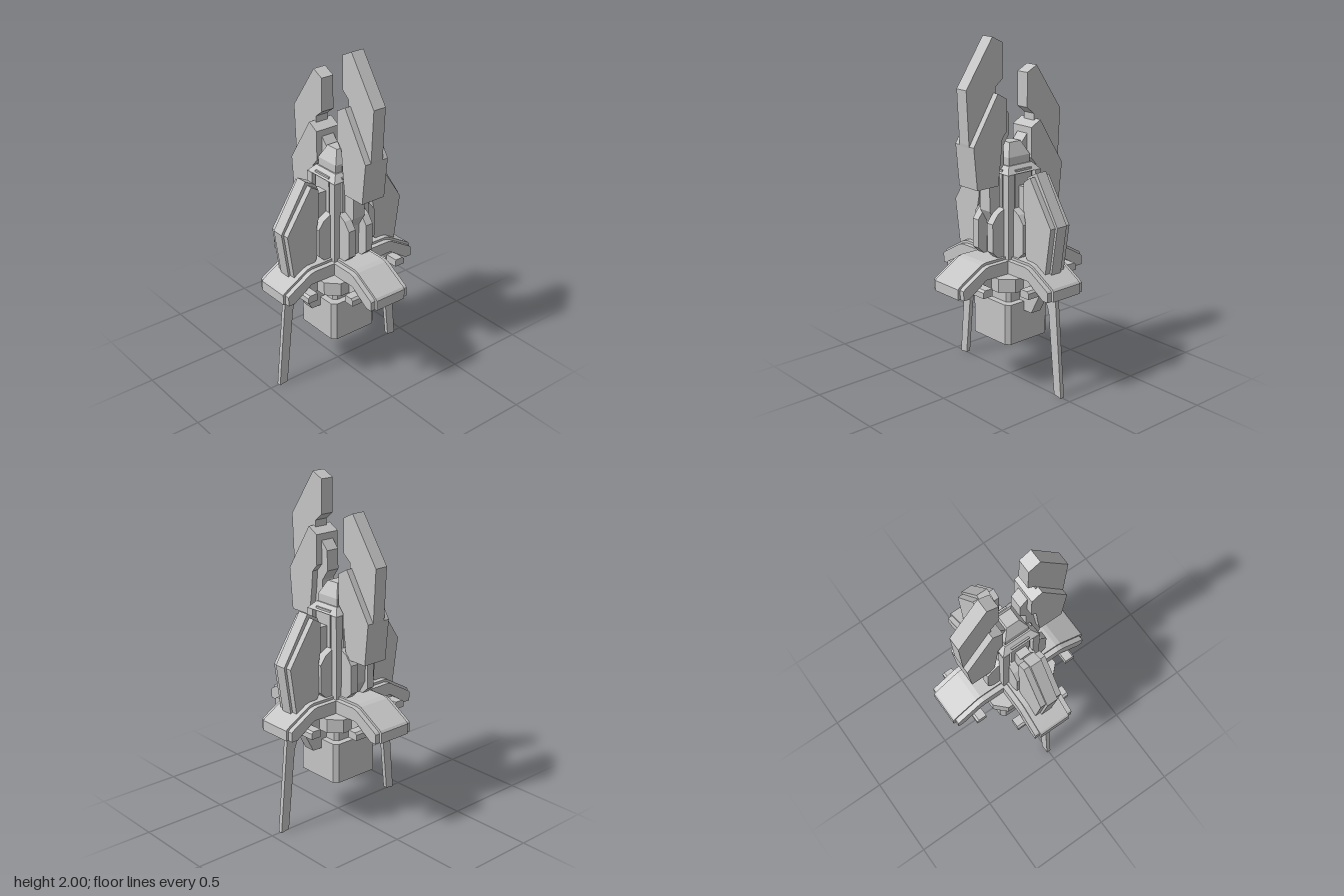
import * as THREE from 'three';

const hull = new THREE.MeshStandardMaterial({ color: 0xc4c4c4 });
hull.name = 'hullGrey';

// Flat slab: profile in (radius, height), spanning w0..w1 across
function slab(name, pts, w0, w1) {
  const shape = new THREE.Shape(pts.map(([x, y]) => new THREE.Vector2(x, y)));
  const geo = new THREE.ExtrudeGeometry(shape, { depth: w1 - w0, bevelEnabled: false });
  geo.translate(0, 0, w0);
  const mesh = new THREE.Mesh(geo, hull);
  mesh.name = name;
  return mesh;
}

// Upright prism: square plan of half-width h with corners cut by c
function prism(name, h, c, y0, y1) {
  const k = h - c;
  const plan = [[h, -k], [h, k], [k, h], [-k, h], [-h, k], [-h, -k], [-k, -h], [k, -h]];
  const mesh = slab(name, plan, y0, y1);
  mesh.geometry.rotateX(-Math.PI / 2);
  return mesh;
}

function box(name, x0, x1, y0, y1, z0, z1) {
  const geo = new THREE.BoxGeometry(x1 - x0, y1 - y0, z1 - z0);
  geo.translate((x0 + x1) / 2, (y0 + y1) / 2, (z0 + z1) / 2);
  const mesh = new THREE.Mesh(geo, hull);
  mesh.name = name;
  return mesh;
}

// Square frustum, half-width a at the bottom and b at the top
function frustum(name, a, b, y0, y1) {
  const geo = new THREE.CylinderGeometry(b * Math.SQRT2, a * Math.SQRT2, y1 - y0, 4).toNonIndexed();
  geo.rotateY(Math.PI / 4);
  geo.translate(0, (y0 + y1) / 2, 0);
  geo.computeVertexNormals();
  const mesh = new THREE.Mesh(geo, hull);
  mesh.name = name;
  return mesh;
}

// One skirt arm with its raised centre, side rims and small side thrusters
function skirtArm() {
  const g = new THREE.Group();
  g.name = 'skirtArm';
  g.add(slab('armCentre', [[0.08, 0.61], [0.465, 0.61], [0.465, 0.67], [0.455, 0.682],
    [0.30, 0.772], [0.27, 0.78], [0.08, 0.78]], -0.1, 0.1));
  const rim = [[0.1, 0.69], [0.29, 0.69], [0.41, 0.61], [0.45, 0.61], [0.45, 0.664],
    [0.44, 0.674], [0.295, 0.758], [0.265, 0.765], [0.1, 0.765]];
  for (const s of [-1, 1]) {
    g.add(slab('armRim', rim, s < 0 ? -0.13 : 0.1, s < 0 ? -0.1 : 0.13));
    g.add(slab('sideThruster', [[0.288, 0.612], [0.352, 0.612], [0.352, 0.645], [0.34, 0.657], [0.288, 0.657]],
      s < 0 ? -0.18 : 0.09, s < 0 ? -0.09 : 0.18));
  }
  return g;
}

// Pair of pointed buttresses on one side of the tower, with a lower filler
function buttress() {
  const g = new THREE.Group();
  g.name = 'buttress';
  const p = [[0.08, 0.76], [0.16, 0.775], [0.203, 0.815], [0.203, 0.98], [0.165, 1.03], [0.12, 1.055], [0.08, 1.055]];
  g.add(slab('buttressProng', p, -0.085, -0.038));
  g.add(slab('buttressProng', p, 0.038, 0.085));
  g.add(box('buttressFiller', 0.08, 0.14, 0.74, 1.0, -0.04, 0.04));
  return g;
}

// Broad layered fin for the sides
function sideFin() {
  const g = new THREE.Group();
  g.name = 'sideFin';
  g.add(slab('finCore', [[0.253, 1.277], [0.183, 1.24], [0.165, 1.2], [0.145, 1.03], [0.165, 0.8], [0.22, 0.74],
    [0.375, 0.7], [0.42, 1.005]], -0.035, 0.035));
  g.add(slab('finPlating', [[0.24, 1.253], [0.19, 1.222], [0.19, 1.06], [0.205, 0.99], [0.205, 0.8], [0.235, 0.765],
    [0.365, 0.725], [0.405, 1.0]], -0.07, 0.07));
  g.add(box('finMount', 0.08, 0.17, 0.8, 1.18, -0.035, 0.035));
  return g;
}

// Tall stepped fin: narrow upper blade, wide lower block and inner spine
function tallFin() {
  const g = new THREE.Group();
  g.name = 'tallFin';
  g.add(slab('upperBlade', [[0.16, 2.0], [0.09, 1.965], [0.09, 1.77], [0.14, 1.73], [0.14, 1.5], [0.16, 1.4],
    [0.322, 1.4], [0.328, 1.44], [0.343, 1.735]], -0.04, 0.04));
  g.add(slab('lowerBlock', [[0.155, 1.7], [0.09, 1.663], [0.09, 1.49], [0.125, 1.45], [0.135, 1.34], [0.155, 1.19],
    [0.303, 1.19], [0.326, 1.43]], -0.077, 0.077));
  g.add(slab('spine', [[0.12, 1.64], [0.09, 1.625], [0.045, 1.575], [0.043, 1.46], [0.085, 1.4], [0.09, 0.92],
    [0.12, 0.93], [0.185, 1.04], [0.185, 1.3], [0.14, 1.45]], -0.04, 0.04));
  return g;
}

// Thin landing leg with its bracket
function leg() {
  const g = new THREE.Group();
  g.name = 'landingLeg';
  g.add(slab('legStrut', [[0.385, 0.62], [0.29, 0.62], [0.29, 0.6], [0.33, 0.51], [0.338, 0.48],
    [0.388, 0.008], [0.442, 0.0]], -0.013, 0.013));
  g.add(slab('legBracket', [[0.1, 0.62], [0.1, 0.455], [0.218, 0.455], [0.295, 0.6], [0.295, 0.62]], -0.035, 0.035));
  return g;
}

export function createModel() {
  const model = new THREE.Group();
  model.name = 'station';

  // Lower pod, neck and octagonal deck
  model.add(prism('lowerPod', 0.157, 0.025, 0.27, 0.51));
  model.add(prism('neck', 0.12, 0.02, 0.5, 0.63));
  model.add(prism('deck', 0.226, 0.066, 0.61, 0.69));
  model.add(prism('hub', 0.14, 0.02, 0.66, 0.765));

  // Tower core with corner posts and cap
  model.add(box('towerCore', -0.095, 0.095, 0.74, 1.26, -0.095, 0.095));
  model.add(frustum('towerShoulder', 0.12, 0.085, 1.25, 1.29));
  model.add(box('capBase', -0.077, 0.077, 1.28, 1.335, -0.077, 0.077));
  model.add(frustum('cap', 0.077, 0.04, 1.335, 1.41));
  for (const x of [-0.1, 0.1]) for (const z of [-0.1, 0.1]) {
    model.add(box('cornerPost', x - 0.022, x + 0.022, 0.73, 1.25, z - 0.022, z + 0.022));
  }

  // Parts repeated around the four sides
  for (let i = 0; i < 4; i++) {
    const side = new THREE.Group();
    side.name = ['leftSide', 'backSide', 'rightSide', 'frontSide'][i];
    side.rotation.y = i * Math.PI / 2;
    side.add(skirtArm(), buttress());
    side.add(box('towerPanel', 0.09, 0.112, 0.78, 1.27, -0.06, 0.06));
    if (i % 2 === 0) {
      side.add(sideFin(), leg());
    } else {
      const fin = tallFin();
      // The back fin sits lower than the front one
      if (i === 1) fin.position.y = -0.183;
      side.add(fin);
    }
    model.add(side);
  }
  return model;
}
